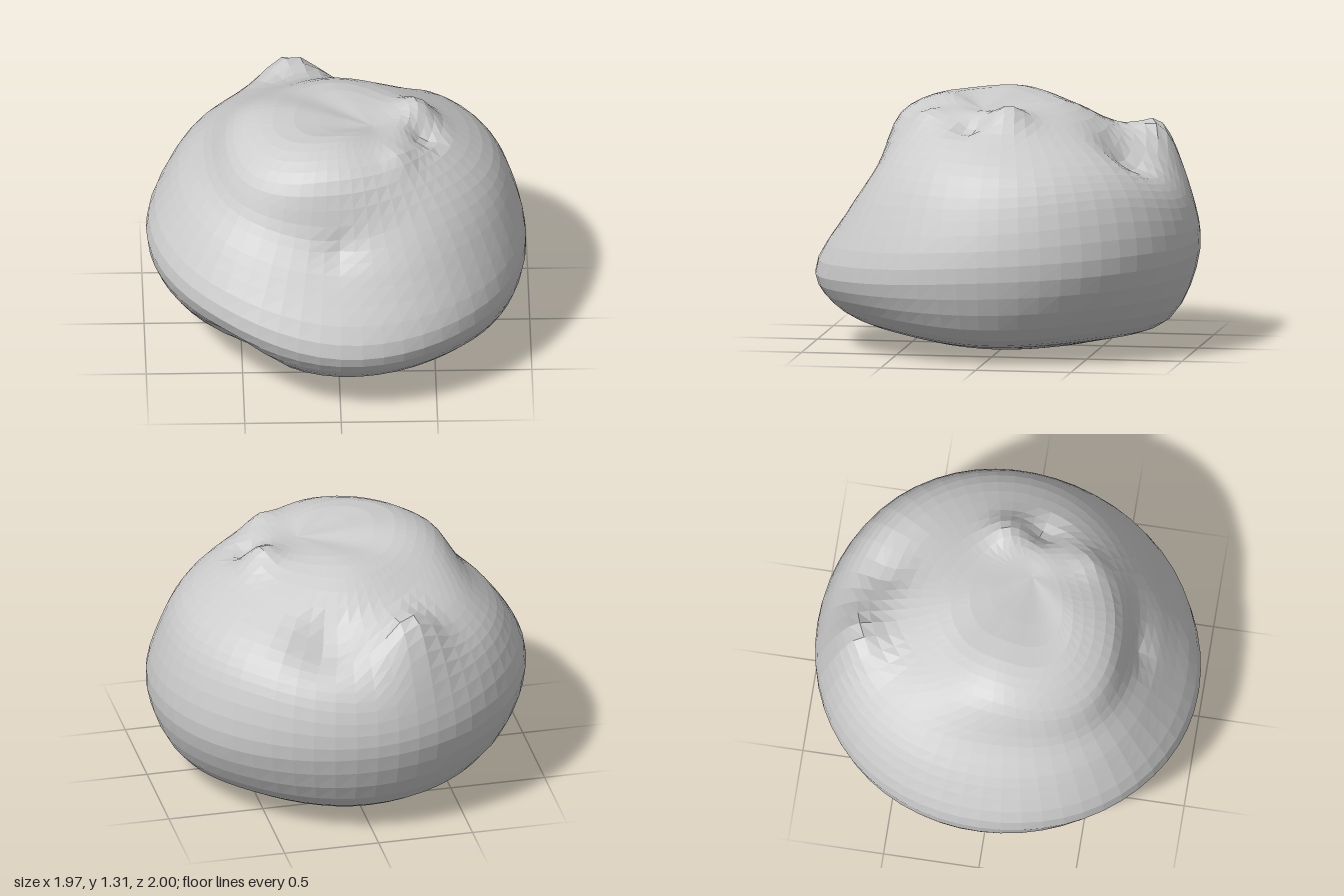
import * as THREE from 'three';

// Outline [radius, height] from lower edge to rim, one per 45 degrees, from the front towards +x
const PROFILES = [
  [[.86, .19], [1, .38], [.82, .7], [.68, .9], [.56, 1.2], [.34, 1.3]],
  [[.84, .18], [.99, .4], [.89, .73], [.73, 1], [.53, 1.19], [.33, 1.26]],
  [[.83, .13], [.98, .45], [.92, .77], [.81, .98], [.55, 1.17], [.38, 1.25]],
  [[.81, .15], [1, .48], [.95, .82], [.84, .98], [.6, 1.13], [.3, 1.26]],
  [[.85, .15], [1, .5], [.96, .75], [.84, .92], [.6, 1.11], [.3, 1.27]],
  [[.84, .18], [1, .53], [.92, .86], [.77, 1.03], [.52, 1.18], [.3, 1.27]],
  [[.84, .23], [.99, .58], [.86, .85], [.69, 1.03], [.53, 1.24], [.32, 1.31]],
  [[.74, .19], [1, .52], [.87, .8], [.73, .97], [.62, 1.16], [.4, 1.29]],
];

// Local lumps and dents: centre, reach, push
const BUMPS = [
  [[.42, 1.22, -.08], .1, [0, .07, 0]], // ridge beside the crown
  [[.31, 1.22, .36], .09, [.01, .03, .02]], // front ridge
  [[.45, 1.2, .12], .08, [-.02, -.06, 0]], // fold between the ridges
  [[-.24, .99, -.8], .19, [0, .19, 0]], // rear lump
  [[.2, 1.02, -.65], .15, [-.02, -.09, .02]], // valley beside the rear lump
  [[0, .85, .71], .08, [0, 0, -.03]], // front crease
  [[-.5, .22, .6], .17, [.05, .03, -.06]], // hollow under the front corner
];

// Smooth periodic blend of four neighbouring values
function blend(a, b, c, d, t) {
  return b + 0.5 * t * (c - a + t * (2 * a - 5 * b + 4 * c - d + t * (3 * (b - c) + d - a)));
}

// Curve running up one side, from the underside to the crown
function columnCurve(angle) {
  const n = PROFILES.length;
  const s = (angle / (2 * Math.PI)) * n;
  const k = Math.floor(s);
  const near = [-1, 0, 1, 2].map((o) => PROFILES[(k + o + n) % n]);
  const outline = near[0].map((_, j) => [0, 1].map((c) => blend(...near.map((p) => p[j][c]), s - k)));
  const points = [[0, 0], [.24, .008], [.56, outline[0][1] * .4], ...outline].map(
    ([r, y]) => new THREE.Vector3(r * Math.sin(angle), y, r * Math.cos(angle)));
  points.push(new THREE.Vector3(.18, 1.25, .1)); // off-centre crown where the folds meet
  return new THREE.CatmullRomCurve3(points);
}

function pushBumps(p) {
  const start = p.clone();
  for (const [centre, reach, push] of BUMPS) {
    const d = start.distanceTo(new THREE.Vector3(...centre));
    p.addScaledVector(new THREE.Vector3(...push), Math.exp(-((d / reach) ** 2)));
  }
  return p;
}

export function createModel() {
  const around = 56, rings = 36;
  const positions = [], index = [];
  for (let i = 0; i < around; i++) {
    const curve = columnCurve((i / around) * 2 * Math.PI);
    for (let j = 0; j <= rings; j++) positions.push(...pushBumps(curve.getPoint(j / rings)));
  }
  const at = (i, j) => (i % around) * (rings + 1) + j;
  for (let i = 0; i < around; i++) {
    for (let j = 0; j < rings; j++) {
      const a = at(i, j), b = at(i + 1, j), c = at(i + 1, j + 1), d = at(i, j + 1);
      if (j > 0) index.push(a, b, c);
      if (j < rings - 1) index.push(a, c, d);
    }
  }
  const geometry = new THREE.BufferGeometry();
  geometry.setAttribute('position', new THREE.Float32BufferAttribute(positions, 3));
  geometry.setIndex(index);
  geometry.computeVertexNormals();

  const body = new THREE.Mesh(geometry, new THREE.MeshStandardMaterial({ color: 0xcccccc, flatShading: true }));
  body.name = 'lumpyBody';
  const group = new THREE.Group();
  group.name = 'lumpyMound';
  group.add(body);
  return group;
}
